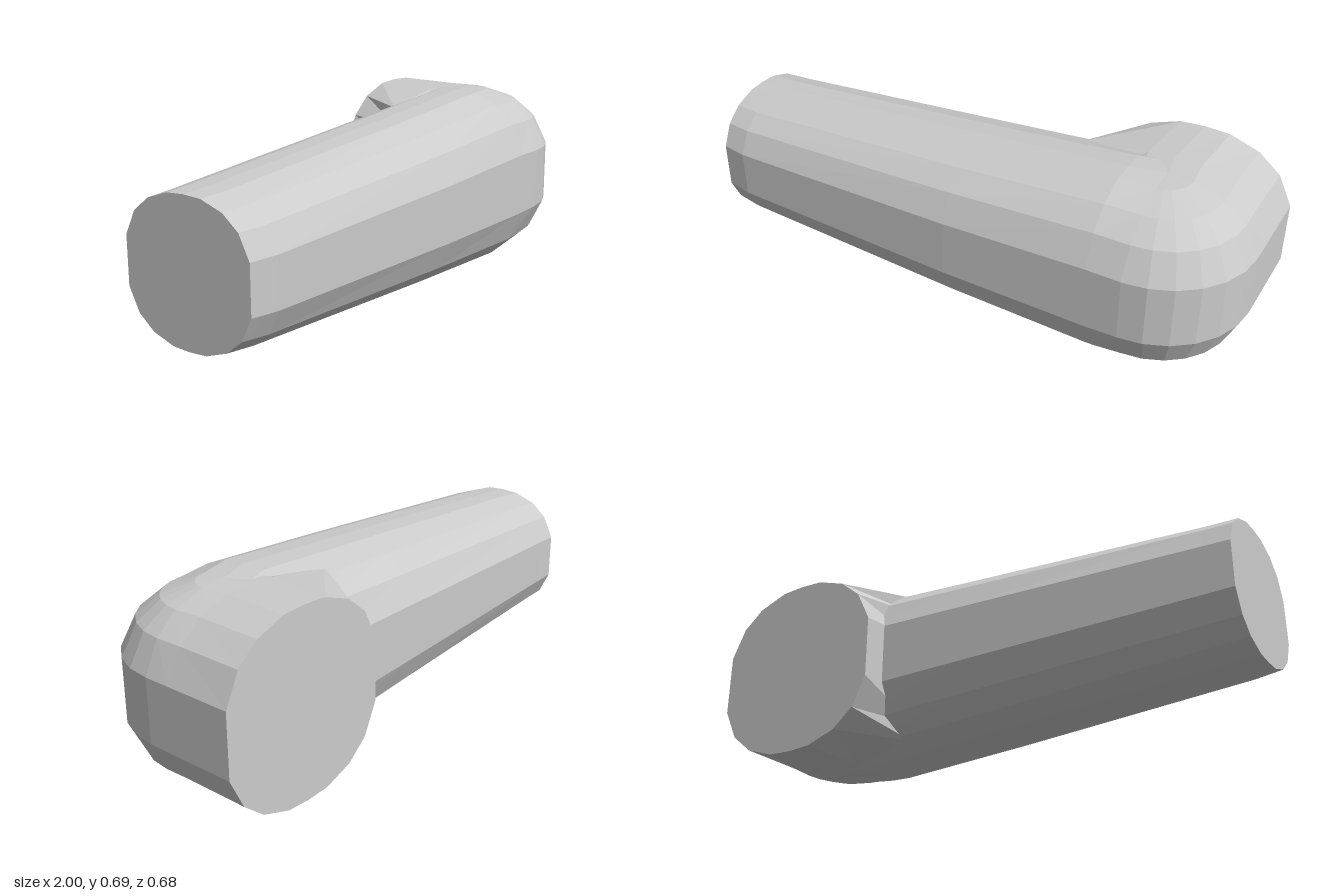
import * as THREE from 'three';

const CY = 0.345; // height of the pipe axis

// Half of the pipe's cross-section, bottom to top, with half width and half height 1
const upper = [[1, 0.34], [0.84, 0.67], [0.6, 0.87], [0.27, 0.985]];
const half = [[0, -1], ...upper.map(([u, v]) => [u, -v]).reverse(), ...upper, [0, 1]];
// Whole cross-section, counter-clockwise
const section = [...half, ...half.slice(1, -1).reverse().map(([u, v]) => [-u, v])];

// Closed faceted tube through rings { t, lo, hi, ry, square }:
// t = position along the axis, lo..hi = horizontal extent, ry = half height,
// square = the low side is straightened into an upright wall.
function loft(rings, place, flip) {
  const pos = [];
  const n = section.length;
  const point = (r, k) => {
    const [u, v] = section[k % n];
    const w = r.square && u < -0.5 ? -1 : u;
    return place(r.t, (r.lo + r.hi) / 2 + (r.hi - r.lo) / 2 * w, CY + r.ry * v);
  };
  const centre = (r) => place(r.t, (r.lo + r.hi) / 2, CY);
  const tri = (a, b, c) => (flip ? pos.push(...a, ...c, ...b) : pos.push(...a, ...b, ...c));
  const first = rings[0], last = rings[rings.length - 1];
  for (let k = 0; k < n; k++) {
    for (let i = 0; i < rings.length - 1; i++) {
      const a = point(rings[i], k), b = point(rings[i], k + 1);
      const c = point(rings[i + 1], k + 1), d = point(rings[i + 1], k);
      tri(a, b, c);
      tri(a, c, d);
    }
    tri(centre(first), point(first, k + 1), point(first, k));
    tri(centre(last), point(last, k), point(last, k + 1));
  }
  const geo = new THREE.BufferGeometry();
  geo.setAttribute('position', new THREE.Float32BufferAttribute(pos, 3));
  geo.computeVertexNormals();
  return geo;
}

export function createModel() {
  const group = new THREE.Group();
  group.name = 'elbowPipe';
  const mat = new THREE.MeshStandardMaterial({ color: 0xcccccc, flatShading: true });
  const add = (name, geo) => {
    const mesh = new THREE.Mesh(geo, mat);
    mesh.name = name;
    group.add(mesh);
  };

  // Long tapered arm along x
  add('taperedArm', loft([
    { t: -1, lo: -0.21, hi: 0.285, ry: 0.245 },
    { t: -0.9, lo: -0.213, hi: 0.305, ry: 0.251 },
    { t: 0, lo: -0.25, hi: 0.335, ry: 0.308 },
    { t: 0.54, lo: -0.27, hi: 0.335, ry: 0.343 },
    { t: 0.665, lo: -0.335, hi: 0.335, ry: 0.336 },
  ], (t, u, v) => [t, v, u], true));

  // Short socket facing back, widened into a wall that meets the arm
  add('socket', loft([
    { t: -0.345, lo: 0.33, hi: 1, ry: 0.336 },
    { t: -0.1, lo: 0.3, hi: 1, ry: 0.336, square: true },
    { t: 0, lo: 0.33, hi: 1, ry: 0.336 },
  ], (t, u, v) => [u, v, t], false));

  // Rounded corner: the same section swept a quarter turn from the arm to the socket
  const profile = half.map(([u, v]) => new THREE.Vector2(u * 0.335, v * 0.336));
  const corner = new THREE.LatheGeometry(profile, 6, 0, Math.PI / 2);
  corner.translate(0.665, CY, 0);
  add('roundedCorner', corner);

  return group;
}
